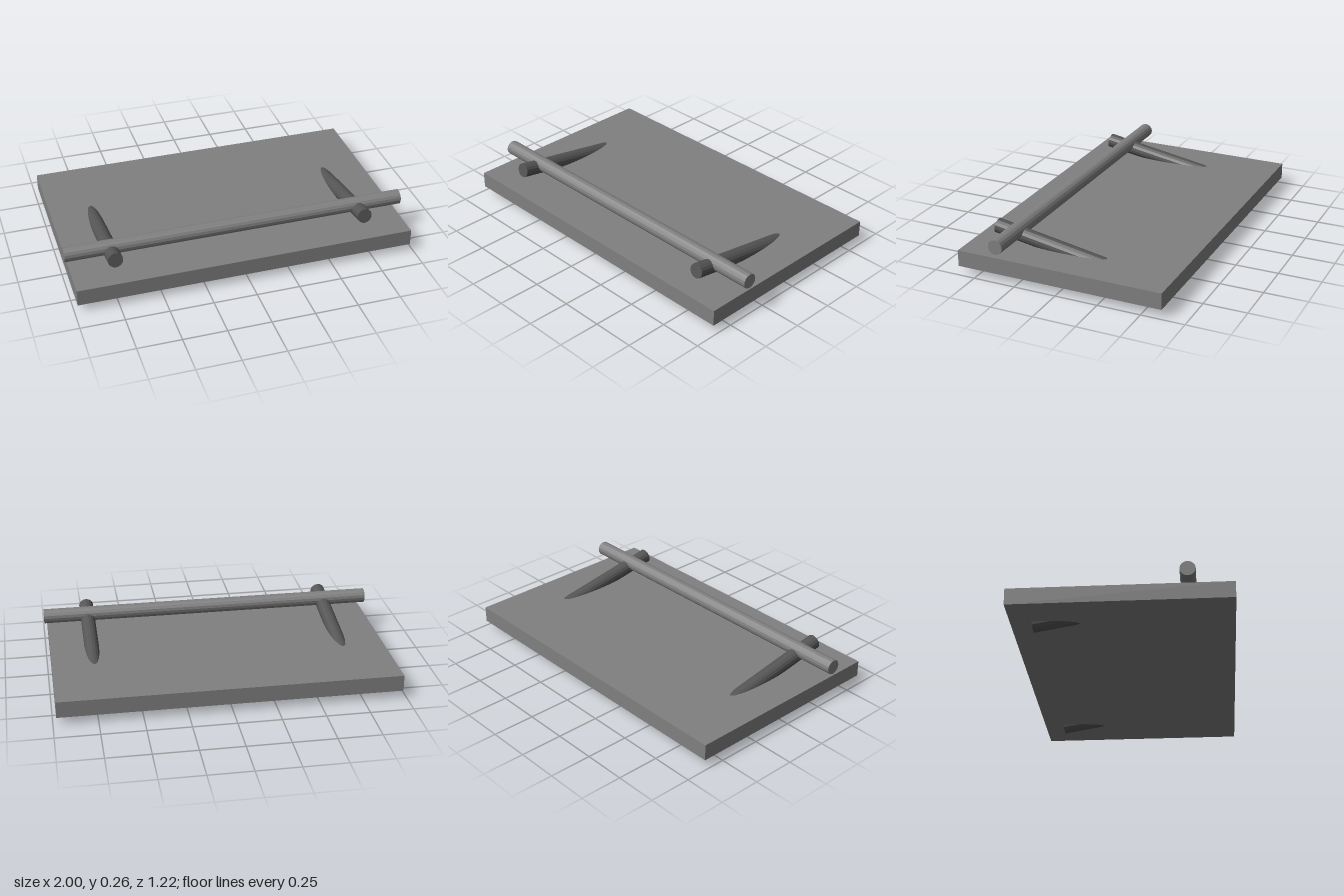
import * as THREE from 'three';

const mat = (name, color) => {
  const m = new THREE.MeshStandardMaterial({ color, flatShading: true });
  m.name = name;
  return m;
};

export function createModel() {
  const group = new THREE.Group();
  const grey = mat('mid grey', 0x808080);
  const dark = mat('dark grey', 0x555555);

  const add = (name, geometry, material, x, y, z) => {
    const mesh = new THREE.Mesh(geometry, material);
    mesh.name = name;
    mesh.position.set(x, y, z);
    group.add(mesh);
    return mesh;
  };

  // Flat board
  add('board', new THREE.BoxGeometry(1.96, 0.095, 1.22), grey, 0, 0.092, 0);

  // Cross bar lying over the rods
  const bar = add('crossBar', new THREE.CylinderGeometry(0.043, 0.043, 2, 16), grey, 0, 0.215, 0.36);
  bar.rotation.z = Math.PI / 2;

  // Two tilted rods that pass through the board, front end high
  const rodGeometry = new THREE.CylinderGeometry(0.043, 0.043, 1, 16);
  for (const side of [-1, 1]) {
    const rod = add(side > 0 ? 'leftRod' : 'rightRod', rodGeometry, dark, side * 0.735, 0.128, 0);
    rod.rotation.x = Math.PI / 2 - 0.171;
  }
  return group;
}
